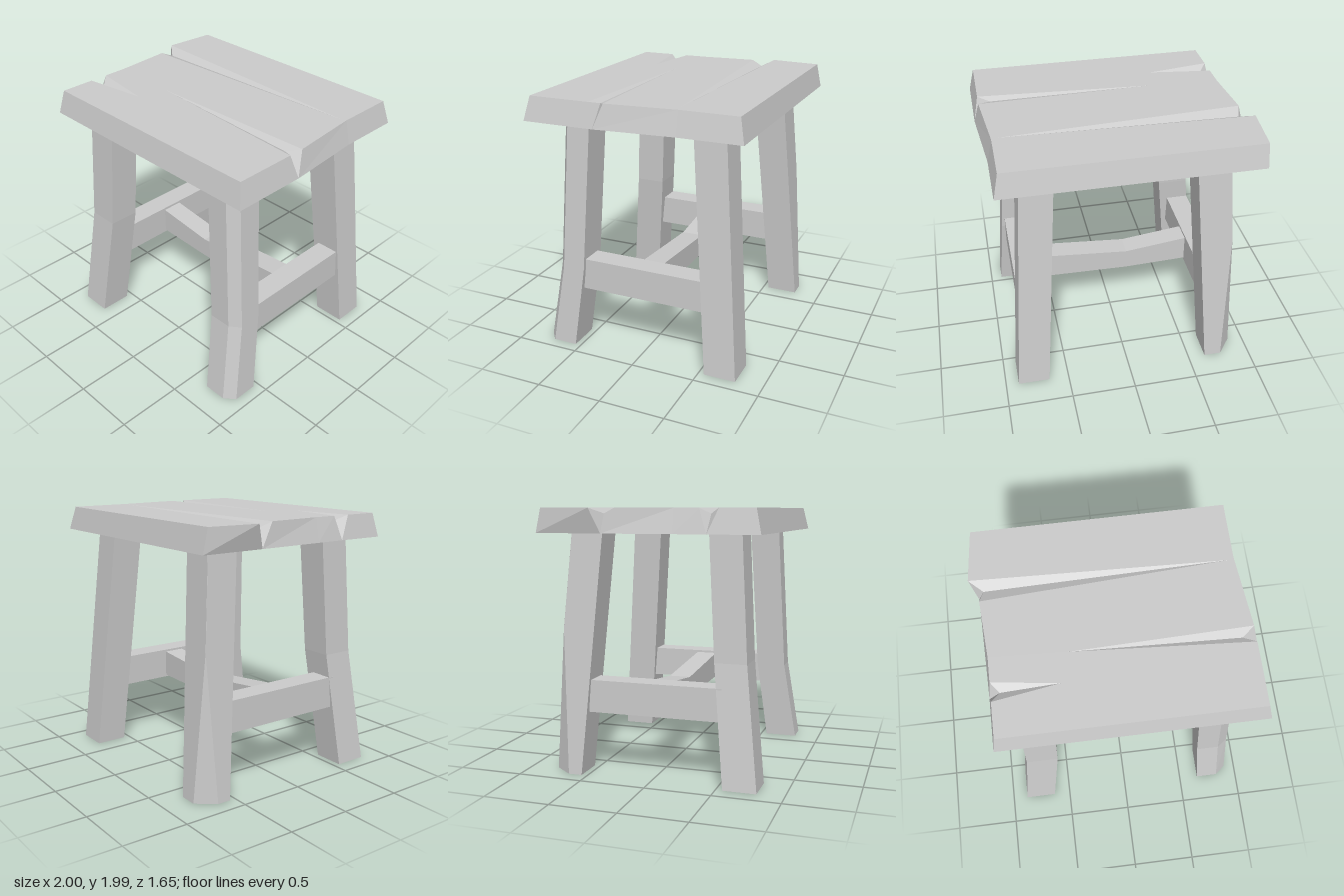
import * as THREE from 'three';

const material = new THREE.MeshStandardMaterial({ color: 0xcccccc, flatShading: true, side: THREE.DoubleSide });

// Collects flat polygons into a mesh
class FaceBuilder {
  constructor() { this.data = []; }
  tri(a, b, c) { this.data.push(...a, ...b, ...c); }
  quad(a, b, c, d) { this.tri(a, b, c); this.tri(a, c, d); }
  // Horizontal polygon from 3D points, facing up or down
  cap(points, up) {
    const flat = points.map(p => new THREE.Vector2(p[2], p[0]));
    for (const [i, j, k] of THREE.ShapeUtils.triangulateShape(flat, [])) {
      const ccw = THREE.ShapeUtils.area([flat[i], flat[j], flat[k]]) > 0;
      if (ccw === up) this.tri(points[i], points[j], points[k]);
      else this.tri(points[i], points[k], points[j]);
    }
  }
  mesh(name) {
    const g = new THREE.BufferGeometry();
    g.setAttribute('position', new THREE.Float32BufferAttribute(this.data, 3));
    g.computeVertexNormals();
    const m = new THREE.Mesh(g, material);
    m.name = name;
    return m;
  }
}

// Seat slab: sloped rim with wedge-shaped cracks running in from the ends
function makeSeat() {
  const TOP = 1.99, BOTTOM = 1.81;
  const rim = [
    { t: [-0.96, -0.79], b: [-0.96, -0.83] },
    { t: [-1, -0.4], tip: [0.87, -0.335], t2: [-0.93, -0.23], inner: [-0.9, 1.95, -0.32], b: [-0.95, -0.33] },
    { t: [-0.9, 0.2], b: [-0.936, 0.2] },
    { t: [-0.9, 0.38], tip: [-0.42, 0.445], t2: [-0.9, 0.52], inner: [-0.84, 1.95, 0.45], b: [-0.93, 0.44] },
    { t: [-0.9, 0.78], b: [-0.93, 0.82] },
    { t: [0.96, 0.78], b: [1, 0.82] },
    { t: [0.96, 0.31], tip: [-0.35, 0.225], t2: [0.96, 0.19], inner: [0.87, 1.965, 0.26], b: [1, 0.26] },
    { t: [0.91, -0.35], b: [0.95, -0.35] },
    { t: [0.91, -0.79], b: [0.95, -0.83] },
  ];
  const top = p => [p[0], TOP, p[1]], bottom = p => [p[0], BOTTOM, p[1]];
  const f = new FaceBuilder(), outline = [];
  rim.forEach((r, i) => {
    const next = rim[(i + 1) % rim.length], b = bottom(r.b);
    outline.push(top(r.t));
    if (r.tip) {
      const a = top(r.t), c = top(r.t2), tip = top(r.tip);
      outline.push(tip, c);
      f.tri(a, r.inner, tip);
      f.tri(c, tip, r.inner);
      f.tri(a, b, r.inner);
      f.tri(c, r.inner, b);
    }
    f.quad(b, bottom(next.b), top(next.t), top(r.t2 || r.t));
  });
  f.cap(outline, true);
  f.cap(rim.map(r => bottom(r.b)), false);
  return f.mesh('seat');
}

// Leg: loft through sections { y, ring of [x, z] }, listed from the floor up
function makeLeg(name, sections) {
  const f = new FaceBuilder();
  const rings = sections.map(s => s.ring.map(([x, z]) => [x, s.y, z]));
  for (let s = 0; s < rings.length - 1; s++) {
    const lo = rings[s], hi = rings[s + 1], n = lo.length;
    for (let i = 0; i < n; i++) {
      const j = (i + 1) % n;
      f.quad(lo[i], lo[j], hi[j], hi[i]);
    }
  }
  f.cap(rings[0], false);
  f.cap(rings[rings.length - 1], true);
  return f.mesh(name);
}

const rect = (x0, x1, z0, z1) => [[x0, z0], [x0, z1], [x1, z1], [x1, z0]];
// Rectangle with the outer front corner cut, or the outer back corner cut
const cutFront = (x0, x1, z0, z1, cx, cz) => [[x0, z0], [x0, z1], [x1 - cx, z1], [x1, z1 - cz], [x1, z0]];
const cutBack = (x0, x1, z0, z1, cx, cz) => [[x0 + cx, z0], [x0, z0 + cz], [x0, z1], [x1, z1], [x1, z0]];

export function createModel() {
  const group = new THREE.Group();
  group.add(makeSeat());

  // Four splayed, hand-hewn legs, each slightly different
  group.add(
    makeLeg('frontLeftLeg', [
      { y: 0, ring: cutFront(0.655, 0.91, 0.545, 0.8, 0.08, 0.065) },
      { y: 0.64, ring: cutFront(0.61, 0.865, 0.465, 0.7, 0.08, 0.06) },
      { y: 1.81, ring: cutFront(0.53, 0.78, 0.41, 0.65, 0.08, 0.06) },
    ]),
    makeLeg('frontRightLeg', [
      { y: 0, ring: rect(-0.88, -0.635, 0.55, 0.8) },
      { y: 0.9, ring: rect(-0.785, -0.54, 0.46, 0.7) },
      { y: 1.81, ring: rect(-0.755, -0.505, 0.41, 0.65) },
    ]),
    makeLeg('backLeftLeg', [
      { y: 0, ring: rect(0.655, 0.9, -0.79, -0.545) },
      { y: 1.81, ring: rect(0.525, 0.77, -0.645, -0.4) },
    ]),
    makeLeg('backRightLeg', [
      { y: 0, ring: cutBack(-0.88, -0.635, -0.79, -0.545, 0.11, 0.14) },
      { y: 1.1, ring: cutBack(-0.804, -0.556, -0.702, -0.457, 0.001, 0.001) },
      { y: 1.81, ring: cutBack(-0.755, -0.505, -0.645, -0.4, 0.001, 0.001) },
    ]),
  );

  // Side rails between front and back legs
  for (const [name, x] of [['leftRail', 0.745], ['rightRail', -0.715]]) {
    const rail = new THREE.Mesh(new THREE.BoxGeometry(0.18, 0.245, 1.04), material);
    rail.position.set(x, 0.5975, 0);
    rail.name = name;
    group.add(rail);
  }

  // Sagging cross rail joining the side rails
  const profile = new THREE.Shape([
    [-0.66, 0.492], [-0.12, 0.475], [0.68, 0.492], [0.68, 0.705], [-0.12, 0.64], [-0.66, 0.705],
  ].map(p => new THREE.Vector2(...p)));
  const cross = new THREE.Mesh(new THREE.ExtrudeGeometry(profile, { depth: 0.17, bevelEnabled: false }), material);
  cross.position.z = -0.1;
  cross.name = 'crossRail';
  group.add(cross);

  return group;
}
